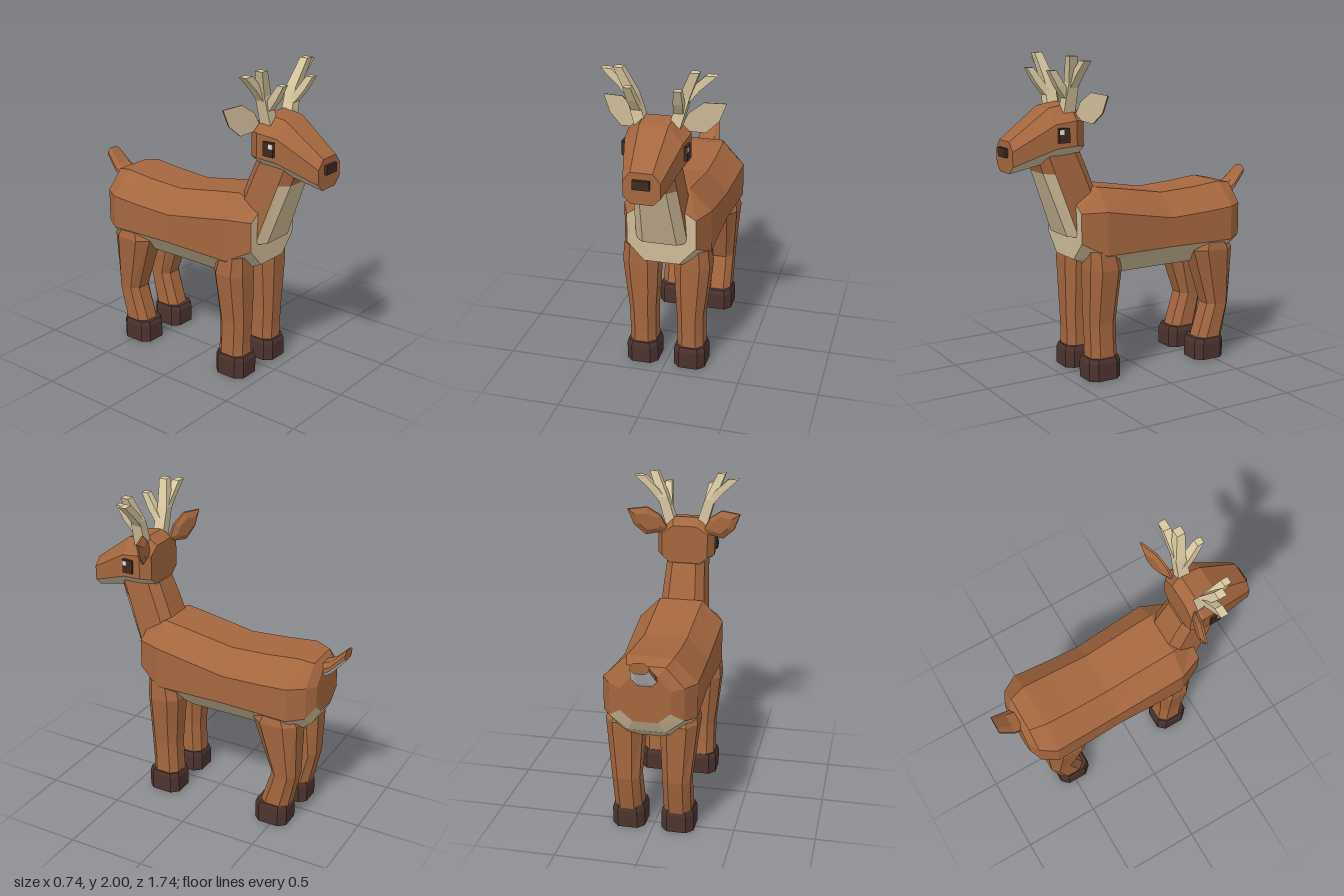
import * as THREE from 'three';

const mat = (name, color) => {
  const m = new THREE.MeshStandardMaterial({ color });
  m.name = name;
  return m;
};
const fur = mat('brown fur', 0xa5673f);
const cream = mat('cream fur', 0xcfbb98);
const antlerMat = mat('antler', 0xd9c8a1);
const hoofMat = mat('hoof', 0x4c332e);
const dark = mat('nose and eye', 0x40291f);
const white = mat('white', 0xe6e6e6);

// Eight-sided section: u is the width axis, levels are the four heights on the other axis
const octagon = (hw, flat, [v0, v1, v2, v3], place) =>
  [[flat, v0], [hw, v1], [hw, v2], [flat, v3], [-flat, v3], [-hw, v2], [-hw, v1], [-flat, v0]]
    .map(([u, v]) => place(u, v));

// Upright section across z, and level section across y
const acrossZ = (z, hw, flat, levels) => octagon(hw, flat, levels, (u, v) => [u, v, z]);
const acrossY = (y, cx, cz, hx, hz, k = 0.52) =>
  octagon(hx, hx * k, [-hz, -hz * k, hz * k, hz], (u, v) => [cx + u, y, cz + v]);
const squareY = ([x, y, z, hx, hz]) =>
  [[-1, -1], [1, -1], [1, 1], [-1, 1]].map(([a, b]) => [x + a * hx, y, z + b * hz]);

// Skin a row of sections with flat facets; pick(side, segment) chooses the material,
// where side is -1 for the first cap and -2 for the last
function loft(name, rings, materials, pick = () => 0) {
  const faces = materials.map(() => []);
  const n = rings[0].length;
  const cap = (ring, side, flip) => {
    for (let i = 1; i < n - 1; i++) {
      const t = [ring[0], ring[i], ring[i + 1]];
      faces[pick(side, 0)].push(flip ? t.reverse() : t);
    }
  };
  for (let s = 0; s < rings.length - 1; s++) {
    for (let i = 0; i < n; i++) {
      const j = (i + 1) % n, a = rings[s], b = rings[s + 1];
      faces[pick(i, s)].push([a[i], a[j], b[j]], [a[i], b[j], b[i]]);
    }
  }
  cap(rings[0], -1, true);
  cap(rings[rings.length - 1], -2, false);
  // Turn every face outward if the enclosed volume comes out negative
  const v = (p) => new THREE.Vector3(...p);
  const o = v(rings[0][0]);
  let volume = 0;
  faces.flat().forEach(([a, b, c]) => {
    volume += v(a).sub(o).dot(v(b).sub(o).cross(v(c).sub(o)));
  });
  const geo = new THREE.BufferGeometry();
  const pos = [];
  faces.forEach((list, m) => {
    geo.addGroup(pos.length / 3, list.length * 3, m);
    list.forEach(([a, b, c]) => pos.push(...a, ...(volume < 0 ? c : b), ...(volume < 0 ? b : c)));
  });
  geo.setAttribute('position', new THREE.Float32BufferAttribute(pos, 3));
  geo.computeVertexNormals();
  const mesh = new THREE.Mesh(geo, materials.length > 1 ? materials : materials[0]);
  mesh.name = name;
  return mesh;
}

function box(name, size, at, material) {
  const mesh = new THREE.Mesh(new THREE.BoxGeometry(...size), material);
  mesh.position.set(...at);
  mesh.name = name;
  return mesh;
}

const underside = (side) => (side === 0 || side === 6 || side === 7 ? 1 : 0);

function makeLeg(name, s, rings, hoofZ) {
  const leg = new THREE.Group();
  leg.name = name;
  leg.add(loft('leg', rings.map(([y, x, z, hx, hz]) => acrossY(y, s * x, z, hx, hz)), [fur]));
  leg.add(loft('hoof', [[0.14, 0.092, 0.1], [0.11, 0.101, 0.11], [0, 0.101, 0.11]]
    .map(([y, hx, hz]) => acrossY(y, s * 0.154, hoofZ, hx, hz, 0.6)), [hoofMat]));
  return leg;
}

function makeAntler(s) {
  const antler = new THREE.Group();
  antler.name = s > 0 ? 'leftAntler' : 'rightAntler';
  const branches = {
    beam: [[0.1, 1.66, 0.492, 0.036, 0.038], [0.155, 1.84, 0.487, 0.032, 0.034], [0.222, 2, 0.522, 0.026, 0.026]],
    sideTine: [[0.15, 1.81, 0.482, 0.03, 0.026], [0.21, 1.885, 0.48, 0.032, 0.026], [0.307, 1.975, 0.478, 0.032, 0.024]],
    frontTine: [[0.125, 1.75, 0.5, 0.028, 0.03], [0.135, 1.82, 0.555, 0.028, 0.028], [0.145, 1.915, 0.615, 0.022, 0.022]],
  };
  for (const [name, rings] of Object.entries(branches)) {
    antler.add(loft(name, rings.map(([x, ...r]) => squareY([s * x, ...r])), [antlerMat]));
  }
  return antler;
}

function makeEar(s) {
  const outline = [[0.12, 1.64], [0.16, 1.725], [0.245, 1.785], [0.37, 1.775], [0.33, 1.67], [0.255, 1.6], [0.15, 1.615]];
  const ring = (k, back) => outline.map(([x, y]) => {
    const u = 0.23 + (x - 0.23) * k;
    return [s * u, 1.69 + (y - 1.69) * k, 0.445 - (u - 0.12) * 0.31 - back];
  });
  // Cream inside facing forward, brown back
  return loft(s > 0 ? 'leftEar' : 'rightEar', [ring(1, 0), ring(0.97, 0.012), ring(0.6, 0.032)],
    [fur, cream], (side) => (side === -1 ? 1 : 0));
}

export function createModel() {
  const model = new THREE.Group();
  model.name = 'deer';

  // Body with pale belly and chest
  model.add(loft('body', [
    acrossZ(0.46, 0.215, 0.11, [0.76, 0.875, 1.06, 1.13]),
    acrossZ(0.31, 0.275, 0.14, [0.69, 0.795, 1.065, 1.2]),
    acrossZ(0.12, 0.272, 0.138, [0.65, 0.795, 1.03, 1.17]),
    acrossZ(-0.16, 0.265, 0.135, [0.65, 0.795, 0.98, 1.122]),
    acrossZ(-0.4, 0.275, 0.14, [0.65, 0.795, 0.992, 1.135]),
    acrossZ(-0.6, 0.285, 0.14, [0.65, 0.795, 1.01, 1.155]),
    acrossZ(-0.7, 0.225, 0.115, [0.725, 0.81, 1.015, 1.135]),
    acrossZ(-0.74, 0.15, 0.075, [0.8, 0.865, 1.005, 1.09]),
  ], [fur, cream], (side) => (side === -1 ? 1 : underside(side))));

  // Neck with pale front panel
  model.add(loft('neck', [
    acrossY(0.905, 0, 0.35, 0.16, 0.15, 0.66),
    acrossY(1.3, 0, 0.495, 0.133, 0.15, 0.62),
    acrossY(1.42, 0, 0.54, 0.125, 0.145, 0.62),
  ], [fur, cream], (side, seg) => (seg === 0 && side >= 2 && side <= 4 ? 1 : 0)));

  // Head with pale jaw
  model.add(loft('head', [
    acrossZ(0.855, 0.11, 0.065, [1.315, 1.36, 1.45, 1.505]),
    acrossZ(0.6, 0.172, 0.085, [1.37, 1.455, 1.6, 1.692]),
    acrossZ(0.47, 0.188, 0.09, [1.385, 1.468, 1.618, 1.712]),
    acrossZ(0.405, 0.15, 0.075, [1.4, 1.46, 1.615, 1.665]),
  ], [fur, cream], underside));
  model.add(box('nose', [0.1, 0.055, 0.03], [0, 1.437, 0.86], dark));

  // Tail with white underside
  model.add(loft('tail', [
    acrossZ(-0.7, 0.07, 0.04, [1.0, 1.03, 1.07, 1.1]),
    acrossZ(-0.78, 0.075, 0.042, [1.055, 1.085, 1.11, 1.135]),
    acrossZ(-0.868, 0.055, 0.03, [1.155, 1.175, 1.2, 1.222]),
  ], [fur, white], underside));

  for (const s of [1, -1]) {
    const side = s > 0 ? 'left' : 'right';
    model.add(makeEar(s), makeAntler(s));
    model.add(box(side + 'Eye', [0.025, 0.088, 0.07], [s * 0.182, 1.535, 0.555], dark));
    model.add(box(side + 'EyeGlint', [0.006, 0.028, 0.03], [s * 0.195, 1.556, 0.574], white));
    model.add(makeLeg(side + 'FrontLeg', s, [
      [0.82, 0.165, 0.31, 0.1, 0.09], [0.7, 0.165, 0.295, 0.113, 0.11], [0.52, 0.158, 0.302, 0.1, 0.1],
      [0.36, 0.154, 0.307, 0.085, 0.092], [0.22, 0.154, 0.302, 0.083, 0.09], [0.13, 0.154, 0.3, 0.085, 0.094],
    ], 0.305));
    model.add(makeLeg(side + 'BackLeg', s, [
      [0.8, 0.165, -0.5, 0.1, 0.1], [0.735, 0.165, -0.502, 0.115, 0.147],
      [0.36, 0.156, -0.56, 0.086, 0.082], [0.13, 0.154, -0.5, 0.085, 0.094],
    ], -0.485));
  }
  return model;
}
